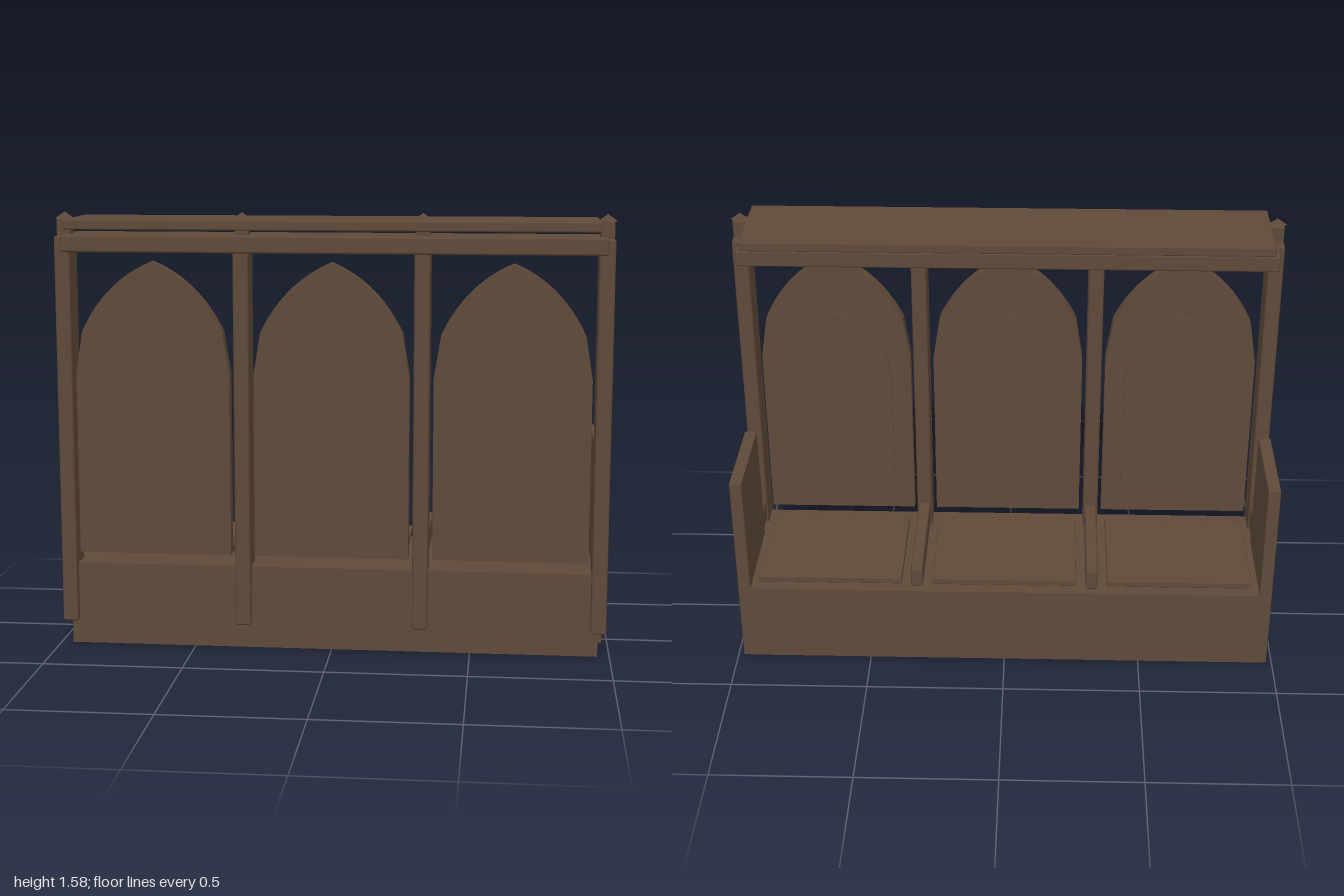
import * as THREE from 'three';
import { RoundedBoxGeometry } from 'three/addons/geometries/RoundedBoxGeometry.js';

export function createModel() {
  const model = new THREE.Group();
  model.name = 'choirStall';
  const wood = new THREE.MeshStandardMaterial({ color: 0x5f4a39 });
  wood.name = 'darkWood';

  function add(name, geometry) {
    const mesh = new THREE.Mesh(geometry, wood);
    mesh.name = name;
    model.add(mesh);
    return mesh;
  }

  // Box given by its limits on each axis, with an optional small bevel
  function block(name, [x0, x1], [y0, y1], [z0, z1], bevel = 0) {
    const size = [x1 - x0, y1 - y0, z1 - z0];
    const geometry = bevel
      ? new RoundedBoxGeometry(...size, 1, bevel)
      : new THREE.BoxGeometry(...size);
    add(name, geometry).position.set((x0 + x1) / 2, (y0 + y1) / 2, (z0 + z1) / 2);
  }

  // Pointed arch outline: straight sides, a short slope, then a curve to the tip
  function archShape(halfWidth, bottom, top) {
    const at = (u, v) => [u * halfWidth, bottom + v * (top - bottom)];
    const shape = new THREE.Shape();
    shape.moveTo(...at(-1, 0));
    shape.lineTo(...at(1, 0));
    shape.lineTo(...at(1, 0.62));
    shape.lineTo(...at(0.91, 0.765));
    shape.quadraticCurveTo(...at(0.6, 0.935), ...at(0, 1));
    shape.quadraticCurveTo(...at(-0.6, 0.935), ...at(-0.91, 0.765));
    shape.lineTo(...at(-1, 0.62));
    return shape;
  }

  function archPanel(name, x, halfWidth, bottom, top, z, depth) {
    const geometry = new THREE.ExtrudeGeometry(archShape(halfWidth, bottom, top), { depth, bevelEnabled: false });
    add(name, geometry).position.set(x, 0, z);
  }

  // Bench box with tall end boards
  block('benchBase', [-0.957, 0.957], [0, 0.302], [-0.317, 0.225]);
  for (const side of [-1, 1]) {
    const edges = [side * 0.935, side * 0.98].sort((a, b) => a - b);
    block('endBoard', edges, [0, 0.754], [-0.318, 0.06], 0.004);
  }

  // Three seats, each backed by an arched panel with a raised field
  for (const x of [-0.64, 0, 0.64]) {
    block('seat', [x - 0.263, x + 0.263], [0.323, 0.348], [-0.302, 0.12], 0.004);
    archPanel('archedBack', x, 0.277, 0.347, 1.405, 0.192, 0.052);
    archPanel('raisedField', x, 0.204, 0.48, 1.19, 0.182, 0.012);
  }

  // Posts with a seat divider behind each, topped by a square neck and a four-sided point
  for (const x of [-0.958, -0.32, 0.32, 0.958]) {
    block('post', [x - 0.028, x + 0.028], [0.088, 1.494], [0.133, 0.253], 0.008);
    block('seatDivider', [x - 0.022, x + 0.022], [0.32, 0.4], [-0.317, 0.15], 0.008);
    block('finialNeck', [x - 0.025, x + 0.025], [1.48, 1.555], [0.167, 0.217], 0.004);
    const point = add('finialPoint', new THREE.ConeGeometry(0.035, 0.025, 4).toNonIndexed());
    point.geometry.computeVertexNormals();
    point.position.set(x, 1.5655, 0.192);
  }

  // Canopy beam and roof board
  block('canopyBeam', [-0.96, 0.96], [1.437, 1.499], [0.036, 0.265], 0.008);
  block('canopyRoof', [-0.936, 0.936], [1.52, 1.556], [-0.018, 0.318], 0.006);

  return model;
}
